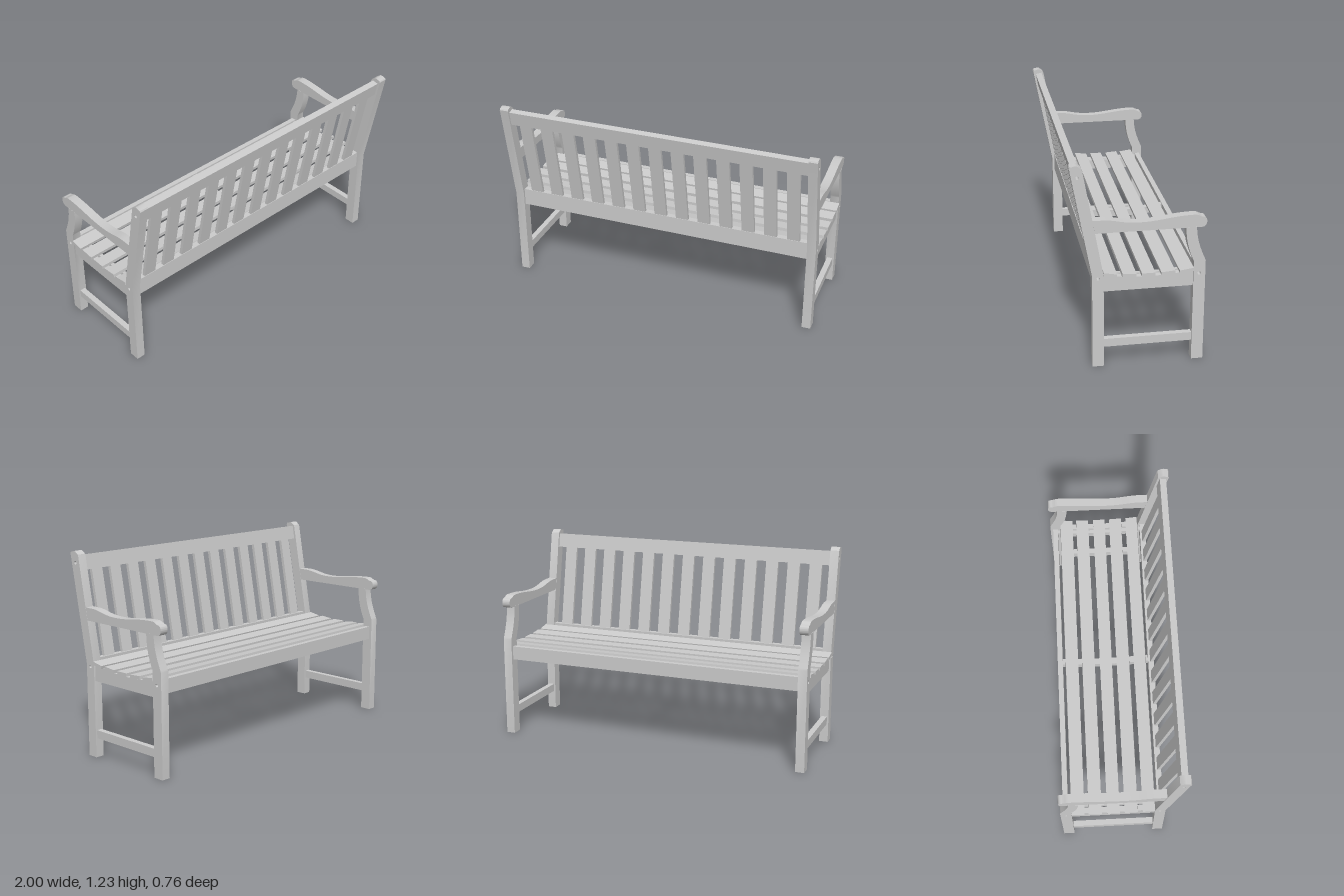
import * as THREE from 'three';
import { toCreasedNormals } from 'three/addons/utils/BufferGeometryUtils.js';

const wood = new THREE.MeshStandardMaterial({ color: 0xcccccc });

export function createModel() {
  const bench = new THREE.Group();
  bench.name = 'gardenBench';

  const add = (name, geometry, x = 0, y = 0, z = 0, tilt = 0) => {
    const mesh = new THREE.Mesh(geometry, wood);
    mesh.name = name;
    mesh.position.set(x, y, z);
    mesh.rotation.x = tilt;
    bench.add(mesh);
    return mesh;
  };

  // Side profile drawn in (z, y), given thickness along x and centred on x = 0
  const plank = (shape, width) => {
    const g = new THREE.ExtrudeGeometry(shape, { depth: width, bevelEnabled: false, curveSegments: 16 });
    g.rotateY(-Math.PI / 2).translate(width / 2, 0, 0);
    return toCreasedNormals(g, 0.5);
  };
  const polygon = (points) => new THREE.Shape(points.map(([z, y]) => new THREE.Vector2(z, y)));
  const boltHole = (shape, z, y) => {
    const hole = new THREE.Path();
    hole.absarc(z, y, 0.01, 0, Math.PI * 2, true);
    shape.holes.push(hole);
  };

  // Back post: upright leg that leans back above the seat
  const backPost = polygon([
    [0.2, 0], [0.265, 0], [0.265, 0.57], [0.385, 1.212], [0.381, 1.221],
    [0.352, 1.228], [0.342, 1.226], [0.319, 1.209], [0.315, 1.2], [0.2, 0.57],
  ]);
  boltHole(backPost, 0.232, 0.555);
  boltHole(backPost, 0.342, 1.16);

  // Front post: straight leg that curves back up to the arm
  const frontPost = new THREE.Shape();
  frontPost.moveTo(-0.378, 0);
  frontPost.lineTo(-0.31, 0);
  frontPost.lineTo(-0.31, 0.625);
  frontPost.bezierCurveTo(-0.275, 0.7, -0.264, 0.76, -0.262, 0.832);
  frontPost.lineTo(-0.322, 0.832);
  frontPost.bezierCurveTo(-0.326, 0.75, -0.345, 0.7, -0.378, 0.625);
  frontPost.closePath();
  boltHole(frontPost, -0.342, 0.547);

  // Arm with a dipped top and a rounded front end
  const arm = new THREE.Shape();
  arm.moveTo(0.247, 0.829);
  arm.lineTo(0.261, 0.905);
  arm.lineTo(0.2, 0.905);
  arm.bezierCurveTo(0.13, 0.903, 0.1, 0.88, 0, 0.88);
  arm.bezierCurveTo(-0.12, 0.88, -0.18, 0.905, -0.31, 0.905);
  arm.bezierCurveTo(-0.335, 0.905, -0.34, 0.89, -0.362, 0.889);
  arm.bezierCurveTo(-0.387, 0.885, -0.387, 0.829, -0.35, 0.829);
  arm.closePath();

  // Side rail under the seat, hollowed on top
  const sideRail = new THREE.Shape();
  sideRail.moveTo(-0.31, 0.47);
  sideRail.lineTo(0.2, 0.47);
  sideRail.lineTo(0.2, 0.569);
  sideRail.quadraticCurveTo(-0.07, 0.524, -0.31, 0.566);
  sideRail.closePath();

  // Curved batten that carries the seat slats
  const batten = new THREE.Shape();
  batten.moveTo(-0.33, 0.528);
  batten.quadraticCurveTo(-0.07, 0.482, 0.216, 0.53);
  batten.lineTo(0.216, 0.572);
  batten.quadraticCurveTo(-0.07, 0.524, -0.33, 0.57);
  batten.closePath();

  // End frames, mirrored
  for (const [side, s] of [['left', 1], ['right', -1]]) {
    const x = s * 0.967;
    add(side + 'BackPost', plank(backPost, 0.055), x);
    add(side + 'FrontPost', plank(frontPost, 0.055), x);
    add(side + 'Arm', plank(arm, 0.053), x);
    add(side + 'SideRail', plank(sideRail, 0.035), x);
    add(side + 'Stretcher', new THREE.BoxGeometry(0.035, 0.05, 0.51), x, 0.143, -0.055);
    add(side + 'SeatBatten', plank(batten, 0.022), s * 0.926);
  }
  add('middleSeatBatten', plank(batten, 0.04));

  // Seat slats, each by its rear and front top edge: z, y, z, y
  const seat = [
    [0.2, 0.591, 0.125, 0.577], [0.095, 0.579, 0.015, 0.572], [-0.015, 0.572, -0.092, 0.572],
    [-0.125, 0.571, -0.205, 0.577], [-0.23, 0.574, -0.31, 0.585],
  ];
  for (const [z0, y0, z1, y1] of seat) {
    const slat = new THREE.BoxGeometry(2, 0.02, Math.hypot(z0 - z1, y0 - y1));
    slat.translate(0, -0.01, 0);
    add('seatSlat', slat, 0, (y0 + y1) / 2, (z0 + z1) / 2, -Math.atan2(y0 - y1, z0 - z1));
  }

  // Long rails between the end frames
  const length = 1.88;
  const lean = Math.atan(0.1855);
  const backZ = (y) => 0.2325 + (y - 0.57) * 0.1855;
  add('frontApron', new THREE.BoxGeometry(length, 0.085, 0.032), 0, 0.535, -0.345);
  add('lowerBackRail', new THREE.BoxGeometry(length, 0.11, 0.036), 0, 0.547, 0.234);
  add('topBackRail', new THREE.BoxGeometry(length, 0.09, 0.04), 0, 1.156, backZ(1.156), lean);

  // Leaning back slats
  for (let i = -6; i <= 6; i++) {
    add('backSlat', new THREE.BoxGeometry(0.079, 0.54, 0.02), i * 0.1415, 0.855, backZ(0.855), lean);
  }
  return bench;
}
